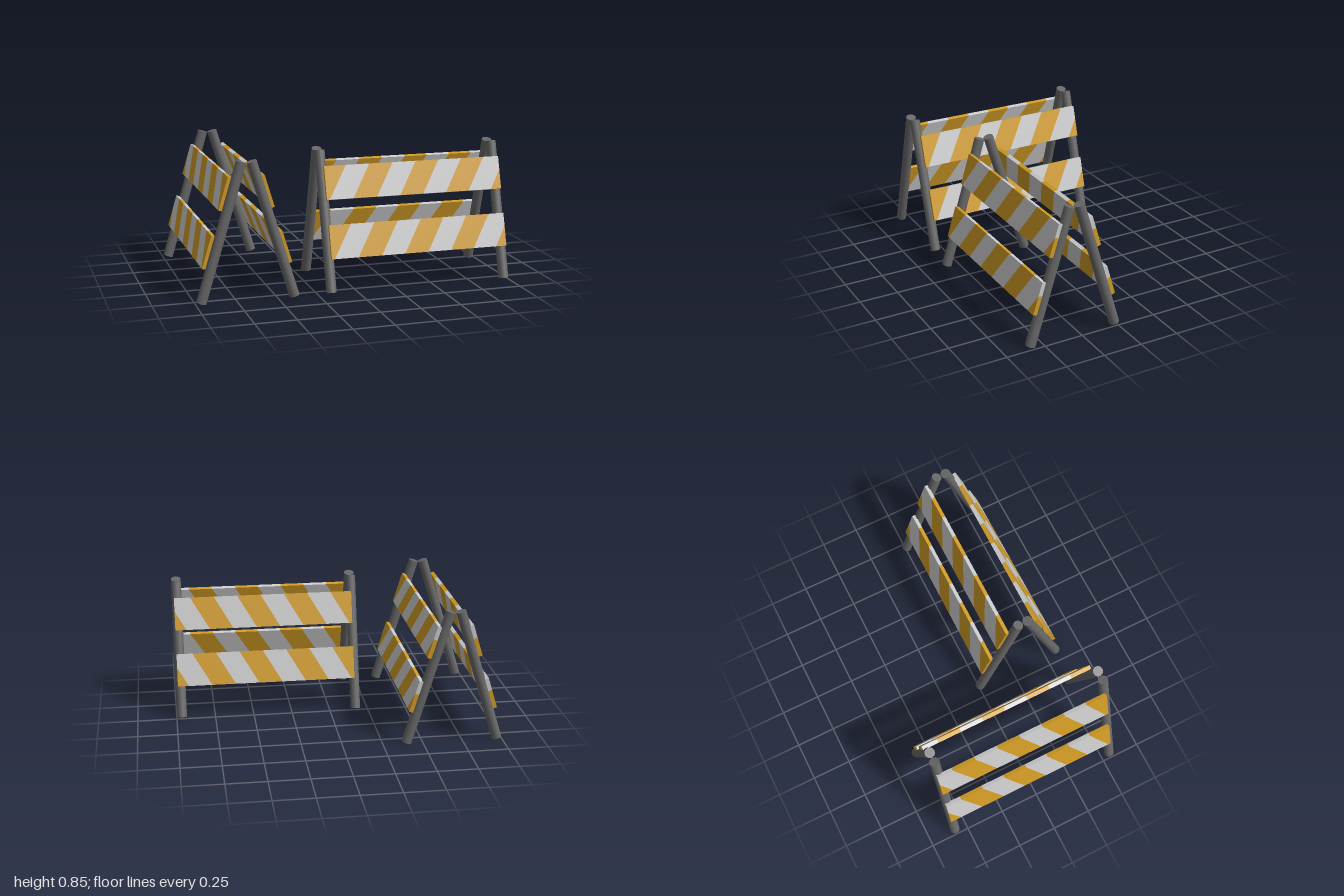
import * as THREE from 'three';
import { mergeGeometries } from 'three/addons/utils/BufferGeometryUtils.js';

const LEAN = 0.295;            // tilt of each side of the A-frame
const LEG = { radius: 0.0315, length: 0.874, x: 0.5675 };
const PANEL = { left: -0.562, right: 0.586, height: 0.207, depth: 0.025, z: 0.026 };
const STRIPE = { start: -0.695, width: 0.1513, slant: 0.12 };

const orange = new THREE.MeshStandardMaterial({ color: 0xd09b25 });
const pale = new THREE.MeshStandardMaterial({ color: 0xcccccc });
const dark = new THREE.MeshStandardMaterial({ color: 0x686868 });

// Cut a polygon at a vertical line, keeping the part where sign * (x - limit) >= 0
function clip(points, limit, sign) {
  const kept = [];
  points.forEach((a, i) => {
    const b = points[(i + 1) % points.length];
    const da = sign * (a.x - limit);
    const db = sign * (b.x - limit);
    if (da >= 0) kept.push(a);
    if (da * db < 0) kept.push(a.clone().lerp(b, da / (da - db)));
  });
  return kept;
}

// All slanted blocks of one colour in a panel: parity 0 or 1 picks every other stripe
function stripeGeometry(parity) {
  const h = PANEL.height / 2;
  const blocks = [];
  for (let i = parity - 2; i < 12; i += 2) {
    const x0 = STRIPE.start + i * STRIPE.width;
    const x1 = x0 + STRIPE.width;
    let points = [
      new THREE.Vector2(x0, -h), new THREE.Vector2(x1, -h),
      new THREE.Vector2(x1 + STRIPE.slant, h), new THREE.Vector2(x0 + STRIPE.slant, h),
    ];
    points = clip(clip(points, PANEL.left, 1), PANEL.right, -1);
    if (points.length < 3) continue;
    blocks.push(new THREE.ExtrudeGeometry(new THREE.Shape(points), { depth: PANEL.depth, bevelEnabled: false }));
  }
  return mergeGeometries(blocks);
}

function addMesh(parent, name, geometry, material, x, y, z) {
  const mesh = new THREE.Mesh(geometry, material);
  mesh.name = name;
  mesh.position.set(x, y, z);
  parent.add(mesh);
}

export function createModel() {
  const model = new THREE.Group();
  model.name = 'barricades';
  const legGeometry = new THREE.CylinderGeometry(LEG.radius, LEG.radius, LEG.length, 20);
  const orangeGeometry = stripeGeometry(0);
  const paleGeometry = stripeGeometry(1);

  // One leaning side: two legs and two striped panels
  function createSide(name) {
    const side = new THREE.Group();
    side.name = name;
    side.position.set(0, 0.4275, 0.158);
    side.rotation.x = -LEAN;
    for (const s of [-1, 1]) addMesh(side, 'leg', legGeometry, dark, s * LEG.x, 0, 0);
    for (const [label, y] of [['lowerPanel', -0.132], ['upperPanel', 0.229]]) {
      addMesh(side, label + 'OrangeStripes', orangeGeometry, orange, 0, y, PANEL.z);
      addMesh(side, label + 'PaleStripes', paleGeometry, pale, 0, y, PANEL.z);
    }
    return side;
  }

  // A-frame: one side and its mirror image
  function createBarricade(name, x, z, turn) {
    const barricade = new THREE.Group();
    barricade.name = name;
    const mirrored = new THREE.Group();
    mirrored.name = 'mirroredSide';
    mirrored.scale.z = -1;
    mirrored.add(createSide('backSide'));
    barricade.add(createSide('frontSide'), mirrored);
    barricade.position.set(x, 0, z);
    barricade.rotation.y = turn;
    model.add(barricade);
  }

  createBarricade('frontBarricade', 0.398, 0.295, 0);
  createBarricade('sideBarricade', -0.682, -0.01, Math.PI / 2);
  return model;
}
